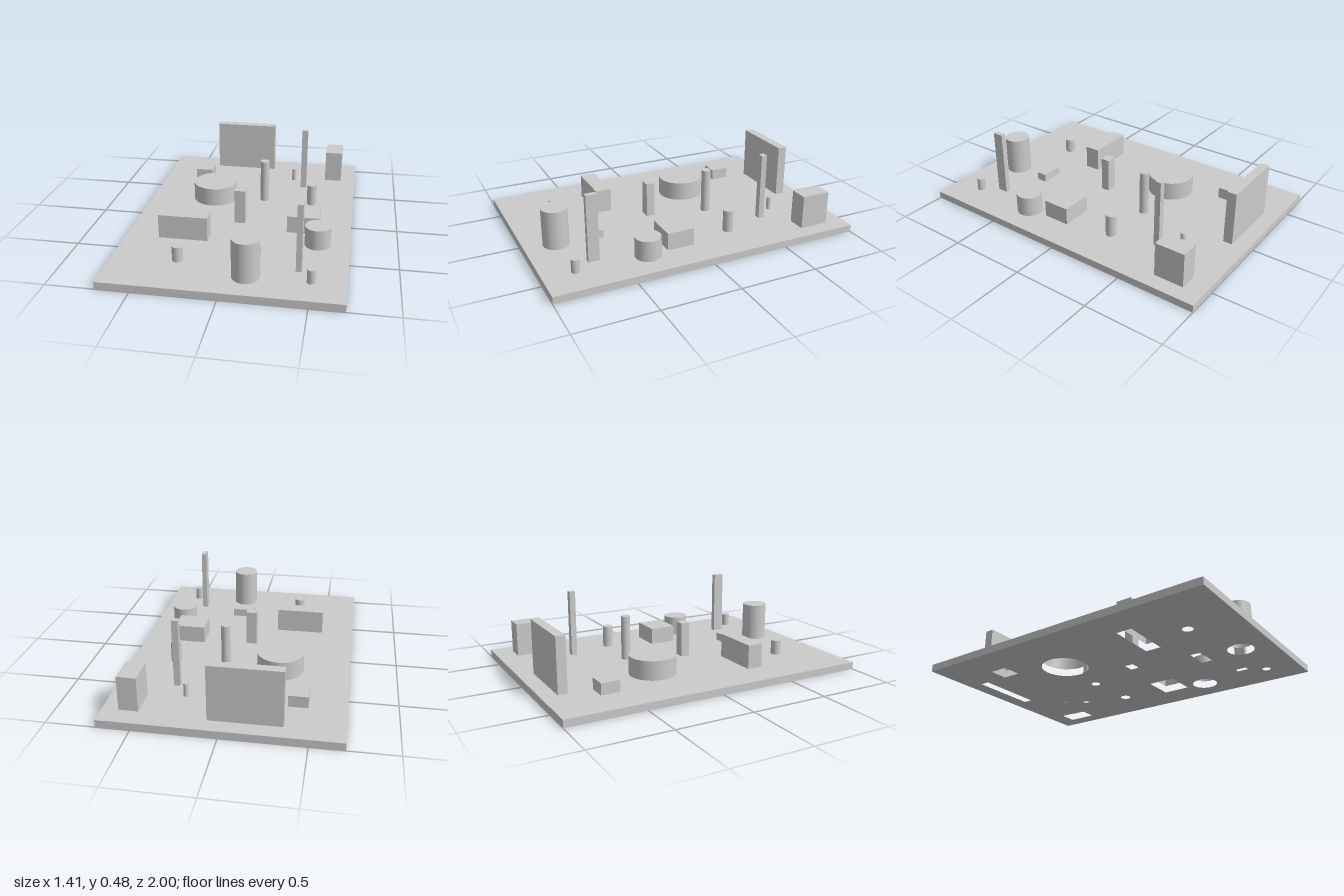
import * as THREE from 'three';

const PLATE_TOP = 0.047;
const SEGMENTS = 48;

// Block sockets: x min, x max, z min, z max, top height
const BLOCKS = [
  [-0.355, 0.08, -0.9, -0.84, 0.395],
  [0.485, 0.603, -0.875, -0.685, 0.264],
  [-0.475, -0.355, -0.685, -0.565, 0.12],
  [0.317, 0.357, -0.555, -0.517, 0.483],
  [-0.058, 0.012, 0.08, 0.137, 0.275],
  [0.297, 0.5, 0.042, 0.217, 0.158],
  [-0.49, -0.178, 0.318, 0.42, 0.202],
  [0.028, 0.175, 0.508, 0.577, 0.1],
  [0.403, 0.436, 0.63, 0.7, 0.472],
];

// Round posts: x, z, radius, top height
const POSTS = [
  [-0.262, -0.245, 0.149, 0.17],
  [0.087, -0.262, 0.03, 0.338],
  [0.419, -0.245, 0.033, 0.19],
  [0.255, -0.66, 0.015, 0.132],
  [0.504, 0.35, 0.081, 0.177],
  [-0.301, 0.678, 0.033, 0.143],
  [0.127, 0.8, 0.082, 0.294],
  [0.501, 0.8, 0.026, 0.132],
];

function rectangle(path, x0, x1, z0, z1) {
  path.moveTo(x0, -z0);
  path.lineTo(x1, -z0);
  path.lineTo(x1, -z1);
  path.lineTo(x0, -z1);
  path.closePath();
  return path;
}

// Remove the bottom face so the hollow inside opens through the plate
function openBottom(geometry, bottomGroup) {
  const { start, count } = geometry.groups[bottomGroup];
  const index = Array.from(geometry.index.array);
  index.splice(start, count);
  geometry.setIndex(index);
  geometry.clearGroups();
  return geometry;
}

export function createModel() {
  const model = new THREE.Group();
  const solid = new THREE.MeshStandardMaterial({ color: 0xcccccc });
  const shell = new THREE.MeshStandardMaterial({ color: 0xcccccc, side: THREE.DoubleSide });

  // Base plate, pierced below every block and post
  const outline = rectangle(new THREE.Shape(), -0.703, 0.703, -1, 1);
  for (const [x0, x1, z0, z1] of BLOCKS) {
    outline.holes.push(rectangle(new THREE.Path(), x0, x1, z0, z1));
  }
  for (const [x, z, r] of POSTS) {
    outline.holes.push(new THREE.Path().absarc(x, -z, r, 0, Math.PI * 2, true));
  }
  const plateGeometry = new THREE.ExtrudeGeometry(outline, {
    depth: PLATE_TOP, bevelEnabled: false, curveSegments: SEGMENTS,
  });
  plateGeometry.rotateX(-Math.PI / 2);
  const plate = new THREE.Mesh(plateGeometry, solid);
  plate.name = 'basePlate';
  model.add(plate);

  function addTower(name, geometry, x, z, top) {
    const mesh = new THREE.Mesh(geometry, shell);
    mesh.name = name;
    mesh.position.set(x, (PLATE_TOP + top) / 2, z);
    model.add(mesh);
  }

  // Hollow rectangular blocks
  BLOCKS.forEach(([x0, x1, z0, z1, top], i) => {
    const box = new THREE.BoxGeometry(x1 - x0, top - PLATE_TOP, z1 - z0);
    addTower(`block${i + 1}`, openBottom(box, 3), (x0 + x1) / 2, (z0 + z1) / 2, top);
  });

  // Hollow round posts
  POSTS.forEach(([x, z, r, top], i) => {
    const cylinder = new THREE.CylinderGeometry(r, r, top - PLATE_TOP, SEGMENTS);
    addTower(`roundPost${i + 1}`, openBottom(cylinder, 2), x, z, top);
  });

  return model;
}
